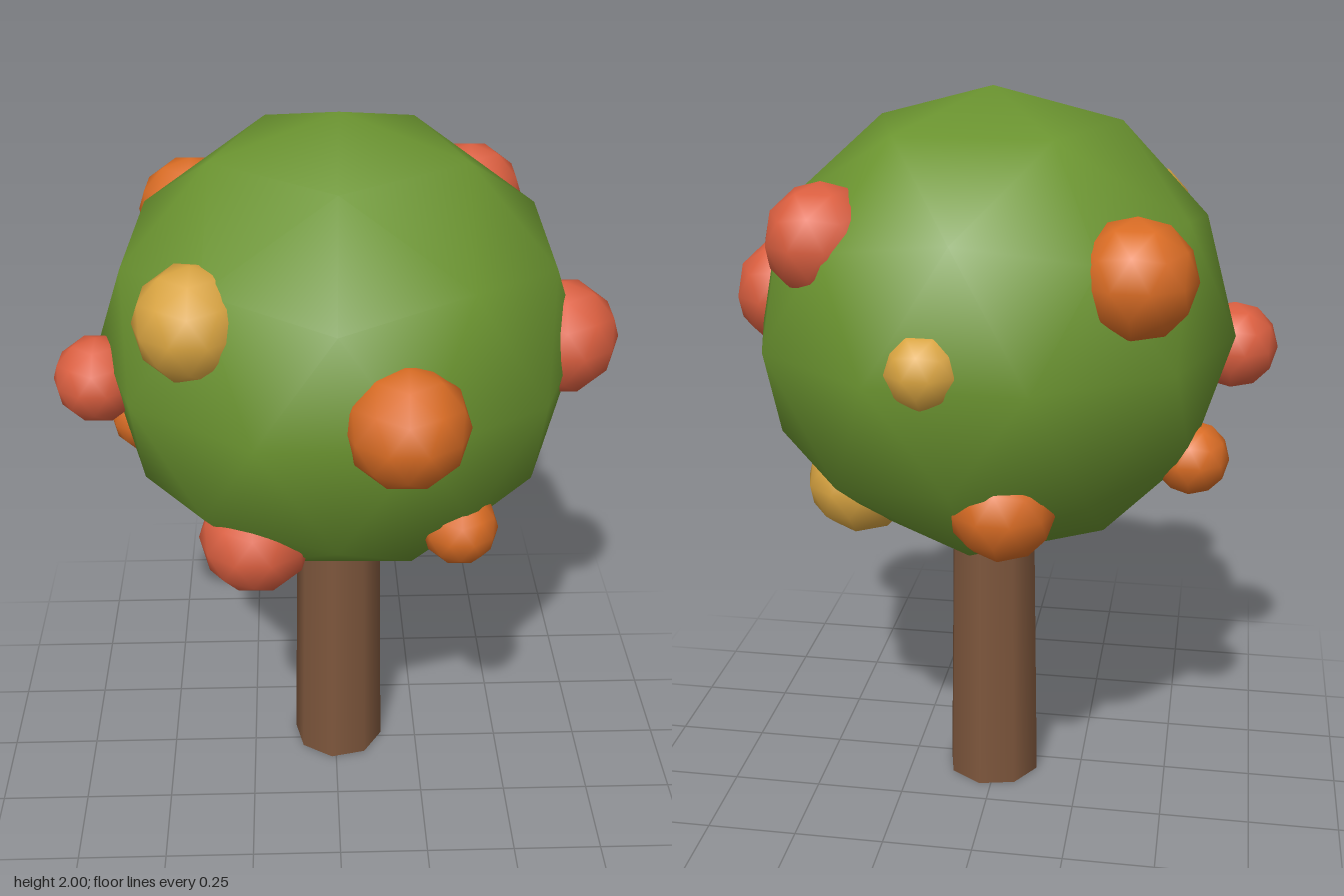
import * as THREE from 'three';

const AXIS_X = 0.01, AXIS_Z = -0.04;
const deg = THREE.MathUtils.degToRad;
const paint = (color) => new THREE.MeshStandardMaterial({ color });

// Smooth 42-point ball standing on one of its points, with the lowest point pressed flat
function flatBottomBall() {
  const geo = new THREE.IcosahedronGeometry(1, 1);
  geo.rotateX(-Math.atan2((1 + Math.sqrt(5)) / 2, 1));
  geo.rotateY(deg(-2));
  const pos = geo.attributes.position, normal = geo.attributes.normal;
  const floor = -0.8507;
  for (let i = 0; i < pos.count; i += 3) {
    let atFloor = 0;
    for (let k = i; k < i + 3; k++) {
      if (pos.getY(k) < floor + 0.001) {
        pos.setXYZ(k, pos.getX(k), floor, pos.getZ(k));
        atFloor++;
      }
    }
    if (atFloor === 3) for (let k = i; k < i + 3; k++) normal.setXYZ(k, 0, -1, 0);
  }
  return geo;
}

export function createModel() {
  const group = new THREE.Group();
  const ball = flatBottomBall();

  // Trunk: tapered, eight sides, running up into the crown
  const trunk = new THREE.Mesh(new THREE.CylinderGeometry(0.118, 0.135, 0.95, 8), paint(0x7d563c));
  trunk.name = 'trunk';
  trunk.position.set(AXIS_X, 0.475, AXIS_Z);
  trunk.rotation.y = deg(-10);
  group.add(trunk);

  // Crown
  const crown = new THREE.Mesh(ball, paint(0x6b9430));
  crown.name = 'crown';
  crown.position.set(AXIS_X, 1.367, AXIS_Z);
  crown.scale.set(0.65, 0.633, 0.64);
  group.add(crown);

  // Fruits half sunk into the crown: x, y, z, radius
  const fruits = {
    orangeFruit: {
      color: 0xd96c24,
      spots: [
        [0.155, 1.413, 0.53, 0.155], [-0.54, 1.065, -0.18, 0.1], [0.31, 1.035, 0.385, 0.1],
        [-0.08, 1.01, -0.465, 0.14], [-0.395, 1.6, -0.425, 0.152],
      ],
    },
    redFruit: {
      color: 0xdb5f40,
      spots: [
        [-0.635, 1.31, 0.055, 0.119], [0.595, 1.413, 0.045, 0.156],
        [-0.22, 0.97, 0.32, 0.15], [0.385, 1.655, -0.37, 0.148],
      ],
    },
    yellowFruit: {
      color: 0xd9a441,
      spots: [[-0.355, 1.6, 0.335, 0.15], [0.37, 0.927, -0.12, 0.152], [0.09, 1.4, -0.58, 0.105]],
    },
  };
  for (const [name, { color, spots }] of Object.entries(fruits)) {
    const material = paint(color);
    spots.forEach(([x, y, z, r], i) => {
      const fruit = new THREE.Mesh(ball, material);
      fruit.name = `${name}${i + 1}`;
      fruit.position.set(x, y, z);
      fruit.scale.setScalar(r);
      group.add(fruit);
    });
  }
  return group;
}
